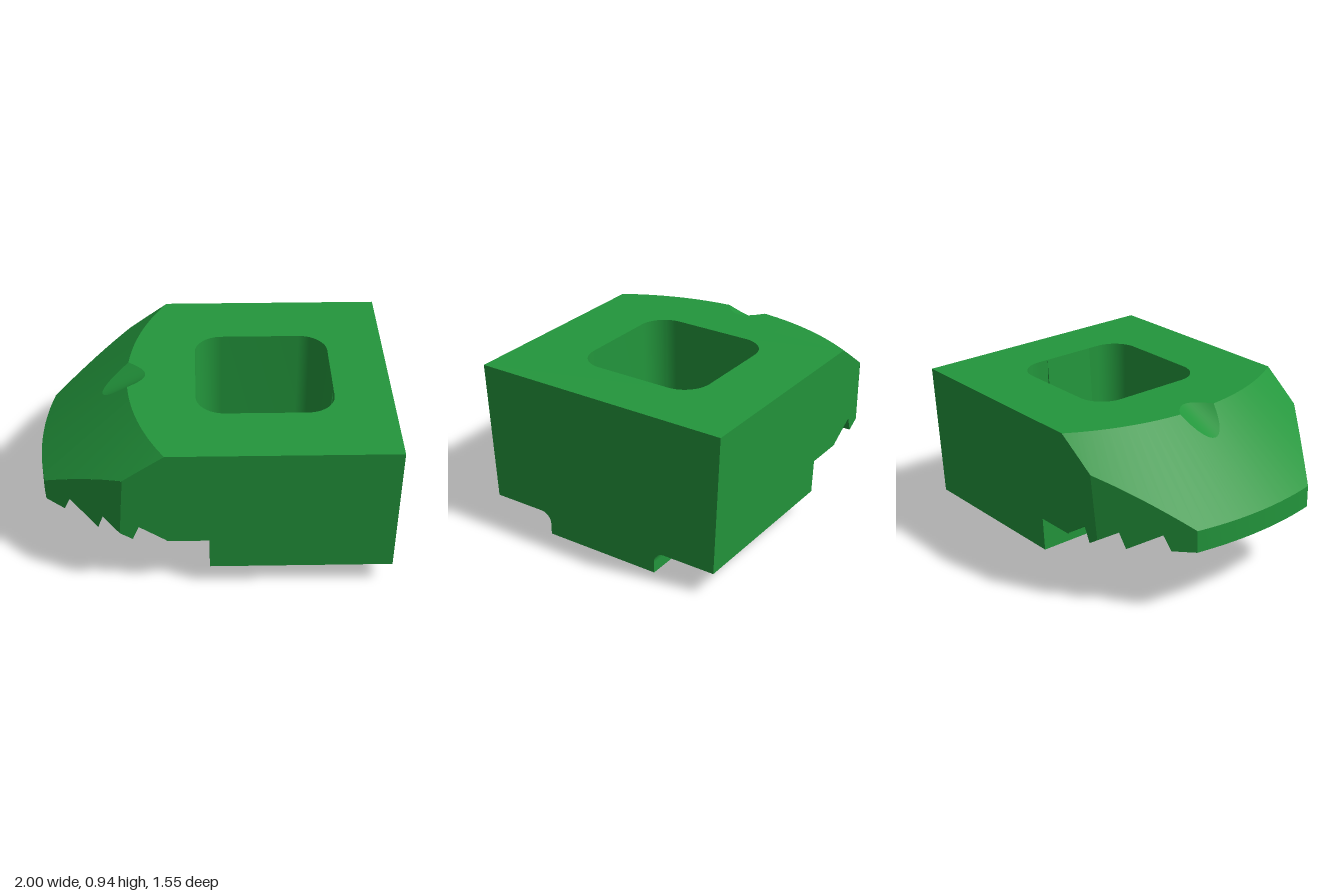
import * as THREE from 'three';
import { toCreasedNormals } from 'three/addons/utils/BufferGeometryUtils.js';

const TOP = 0.94, STEP = 0.33, BASE = 0.13;
const X0 = -0.27;                          // where the jaw meets the block
const AXIS = 0.985, R0 = 1.475, R1 = 1.985; // conical nose: axis x, top and bottom radius
const A_FRONT = 0.213, A_CORNER = 0.477, A_END = 0.5533, A_DIMPLE = 0.085;

// the side walls lean inwards towards the bottom
const halfWidth = (y) => 0.775 - 0.0494 * (TOP - y);
// the chamfered cheeks are vertical planes
const cheek = (x) => 0.42 + 0.763 * (x + 0.955);
const coneY = (r) => TOP - (r - R0) * 0.843;

export function createModel() {
  const group = new THREE.Group();
  const green = new THREE.MeshStandardMaterial({ color: 0x23963c, side: THREE.DoubleSide });
  green.name = 'green';

  const add = (name, geometry) => {
    const mesh = new THREE.Mesh(toCreasedNormals(geometry, 0.4), green);
    mesh.name = name;
    group.add(mesh);
    return mesh;
  };

  // upright extrusion of a plan shape; outer walls follow the lean
  const slab = (name, shape, y0, y1) => {
    const g = new THREE.ExtrudeGeometry(shape, { depth: y1 - y0, bevelEnabled: false, curveSegments: 12 });
    g.rotateX(-Math.PI / 2).translate(0, y0, 0);
    const p = g.attributes.position;
    for (let i = 0; i < p.count; i++) {
      if (Math.abs(p.getZ(i)) > 0.7) p.setZ(i, Math.sign(p.getZ(i)) * halfWidth(p.getY(i)));
    }
    return add(name, g);
  };

  // surface through rows of points
  const grid = (name, rows) => {
    const v = [];
    for (let i = 0; i < rows.length - 1; i++) {
      for (let j = 0; j < rows[i].length - 1; j++) {
        const a = rows[i][j], b = rows[i][j + 1], c = rows[i + 1][j + 1], d = rows[i + 1][j];
        v.push(...a, ...b, ...c, ...a, ...c, ...d);
      }
    }
    const g = new THREE.BufferGeometry();
    g.setAttribute('position', new THREE.Float32BufferAttribute(v, 3));
    return add(name, g);
  };

  const polygon = (pts) => new THREE.Shape(pts.map(([x, y]) => new THREE.Vector2(x, y)));

  // upper block with the rounded square opening
  const H = Math.PI / 2;
  const block = polygon([[X0, -0.775], [1, -0.775], [1, 0.775], [X0, 0.775]]);
  const opening = new THREE.Path();
  opening.absarc(0.515, 0.23, 0.16, 0, H);
  opening.absarc(0.06, 0.23, 0.16, H, 2 * H);
  opening.absarc(0.06, -0.23, 0.16, 2 * H, 3 * H);
  opening.absarc(0.515, -0.23, 0.16, 3 * H, 4 * H);
  opening.closePath();
  block.holes.push(opening);
  slab('upperBlock', block, STEP, TOP);

  // lower block, a U that the opening breaks through
  const u = polygon([[-0.03, -0.775], [1, -0.775], [1, 0.775], [-0.03, 0.775]]);
  u.absarc(0.06, 0.23, 0.16, 2.168, H, true);
  u.absarc(0.515, 0.23, 0.16, H, 0, true);
  u.absarc(0.515, -0.23, 0.16, 0, -H, true);
  u.absarc(0.06, -0.23, 0.16, -H, -2.168, true);
  slab('lowerBlock', u, BASE, STEP);

  // foot with a blind hole
  const foot = polygon([[0.7, -0.16]]);
  foot.absarc(0.7, -0.2, 0.04, H, 0, true);
  foot.lineTo(0.74, -0.355);
  foot.lineTo(1, -0.355);
  foot.lineTo(1, 0.355);
  foot.lineTo(0.74, 0.355);
  foot.absarc(0.7, 0.2, 0.04, 0, -H, true);
  const pin = new THREE.Path();
  pin.absarc(0.92, 0, 0.055, 0, 4 * H);
  foot.holes.push(pin);
  slab('foot', foot, 0, BASE);

  // concave fillets along both sides of the foot
  const fillet = new THREE.Shape();
  fillet.moveTo(0.355, BASE);
  fillet.lineTo(0.355, 0.065);
  fillet.absarc(0.42, 0.065, 0.065, 2 * H, H, true);
  for (const s of [1, -1]) {
    const g = new THREE.ExtrudeGeometry(fillet, { depth: 0.26, bevelEnabled: false, curveSegments: 8 });
    g.rotateY(H);                          // shape x becomes -z, depth becomes x
    if (s > 0) g.translate(0.74, 0, 0);
    else g.rotateY(2 * H).translate(1, 0, 0);
    add('footFillet', g);
  }

  // wedge key on the wall of the opening
  const wedge = polygon([[0.675, TOP], [0.61, 0], [0.7, 0], [0.7, BASE], [0.68, BASE]]);
  add('wedgeKey', new THREE.ExtrudeGeometry(wedge, { depth: 0.32, bevelEnabled: false }).translate(0, 0, -0.16));

  // angles across the nose, denser over the dimple
  const span = (a, b, n) => Array.from({ length: n }, (_, i) => a + (b - a) * (i + 1) / n);
  const half = [...span(0, A_DIMPLE, 8), ...span(A_DIMPLE, A_FRONT, 4),
    ...span(A_FRONT, A_CORNER, 8), ...span(A_CORNER, A_END, 4)];
  const angles = [...half.map((a) => -a).reverse(), 0, ...half];

  const at = (a, r, y) => [AXIS - r * Math.cos(a), y, r * Math.sin(a)];
  const dip = (a) => Math.max(0, 1 - (a / A_DIMPLE) ** 2);
  const inner = (a) => at(a, R0 - 0.105 * dip(a), TOP);
  const outer = (a) => { const r = R0 + 0.145 * dip(a); return at(a, r, coneY(r)); };
  const rim = (a) => {
    const s = Math.sin(Math.abs(a)), c = Math.cos(a);
    const r = Math.max(R0, Math.min(R1, 1.9 / (s + 0.763 * c), 0.8364 / (s + 0.0416)));
    return at(a, r, coneY(r));
  };

  // flat top behind the nose, dimple across its edge, and conical slope
  grid('jawTop', angles.map((a) => { const p = inner(a); return [[X0, TOP, p[2]], p]; }));
  grid('dimple', angles.filter((a) => Math.abs(a) <= A_DIMPLE + 1e-6).map((a) => [inner(a), outer(a)]));
  grid('noseSlope', angles.map((a) => [outer(a), rim(a)]));

  // curved front face and the underside of its tip
  const tipY = (x) => 0.385 - 0.0645 * (x + 1);
  grid('noseFront', angles.filter((a) => Math.abs(a) <= A_FRONT + 1e-6).map((a) => {
    const [x, y, z] = rim(a);
    return [[x, y, z], [x, tipY(x), z], [-0.955, tipY(-0.955), z]];
  }));

  // saw teeth underneath, split where the cheek meets the side wall
  const corner = [-0.525, 0.395];
  const cheekTeeth = [[-0.955, tipY(-0.955)], [-0.845, 0.375], [-0.81, 0.465],
    [-0.65, 0.36], [-0.62, 0.455], corner];
  const sideTeeth = [corner, [-0.455, 0.35], [-0.42, 0.44], [-0.26, STEP]];
  const width = (x, y) => Math.min(cheek(x), halfWidth(y));
  const teeth = [...cheekTeeth, ...sideTeeth.slice(1)];
  grid('teeth', [-1, 1].map((s) => teeth.map(([x, y]) => [x, y, s * width(x, y)])));

  // cheeks and jaw sides
  const wall = (name, bottom, from, to, zOf) => {
    const top = half.filter((a) => a > from - 1e-6 && a < to + 1e-6).reverse().map(rim);
    const g = new THREE.ShapeGeometry(polygon([...bottom, ...top]));
    const p = g.attributes.position;
    for (let i = 0; i < p.count; i++) p.setZ(i, zOf(p.getX(i), p.getY(i)));
    add(name, g);
    add(name, g).scale.z = -1;
  };
  wall('cheek', cheekTeeth, A_FRONT, A_CORNER, (x) => cheek(x));
  wall('jawSide', sideTeeth, A_CORNER, A_END, (x, y) => halfWidth(y));

  return group;
}
